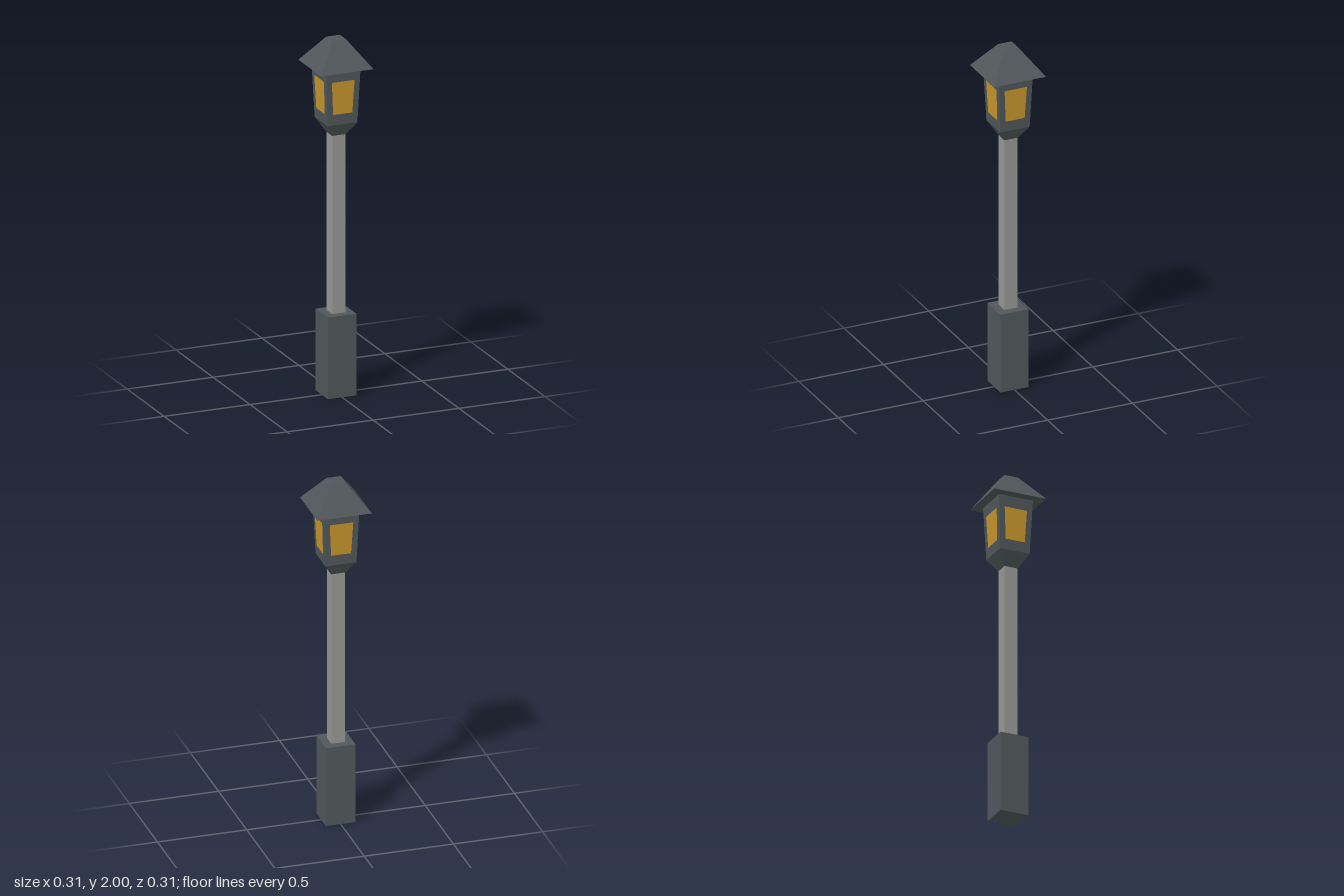
import * as THREE from 'three';

const dark = new THREE.MeshStandardMaterial({ color: 0x50575a, flatShading: true });
const stone = new THREE.MeshStandardMaterial({ color: 0x969693, flatShading: true });
const amber = new THREE.MeshStandardMaterial({ color: 0xc8962c, side: THREE.DoubleSide });

// Square tapered block from y0 to y1, given half-widths at bottom and top
function block(name, y0, y1, half0, half1, material) {
  const geo = new THREE.CylinderGeometry(
    half1 * Math.SQRT2, half0 * Math.SQRT2, y1 - y0, 4, 1, false, Math.PI / 4);
  const mesh = new THREE.Mesh(geo, material);
  mesh.name = name;
  mesh.position.y = (y0 + y1) / 2;
  return mesh;
}

export function createModel() {
  const lamp = new THREE.Group();
  lamp.name = 'lampPost';

  lamp.add(
    block('base', 0, 0.46, 0.083, 0.083, dark),
    block('post', 0.46, 1.47, 0.038, 0.038, stone));

  // Lantern: collar, flared housing and overhanging roof
  const lantern = new THREE.Group();
  lantern.name = 'lantern';
  const bottom = 1.54, top = 1.85, halfBottom = 0.087, halfTop = 0.1;
  lantern.add(
    block('collar', 1.465, bottom, 0.04, halfBottom, dark),
    block('housing', bottom, top, halfBottom, halfTop, dark),
    block('roof', top, 2, 0.153, 0.04, dark));

  // One glowing pane on each leaning wall
  const shape = new THREE.Shape([
    [-0.056, 0.06], [0.056, 0.06], [0.066, 0.245], [-0.066, 0.245],
  ].map(([x, y]) => new THREE.Vector2(x, y)));
  const paneGeo = new THREE.ShapeGeometry(shape);
  paneGeo.rotateX(Math.atan2(halfTop - halfBottom, top - bottom));
  paneGeo.translate(0, bottom, halfBottom + 0.001);
  for (let i = 0; i < 4; i++) {
    const pane = new THREE.Mesh(paneGeo, amber);
    pane.name = 'windowPane';
    pane.rotation.y = i * Math.PI / 2;
    lantern.add(pane);
  }
  lamp.add(lantern);
  return lamp;
}
